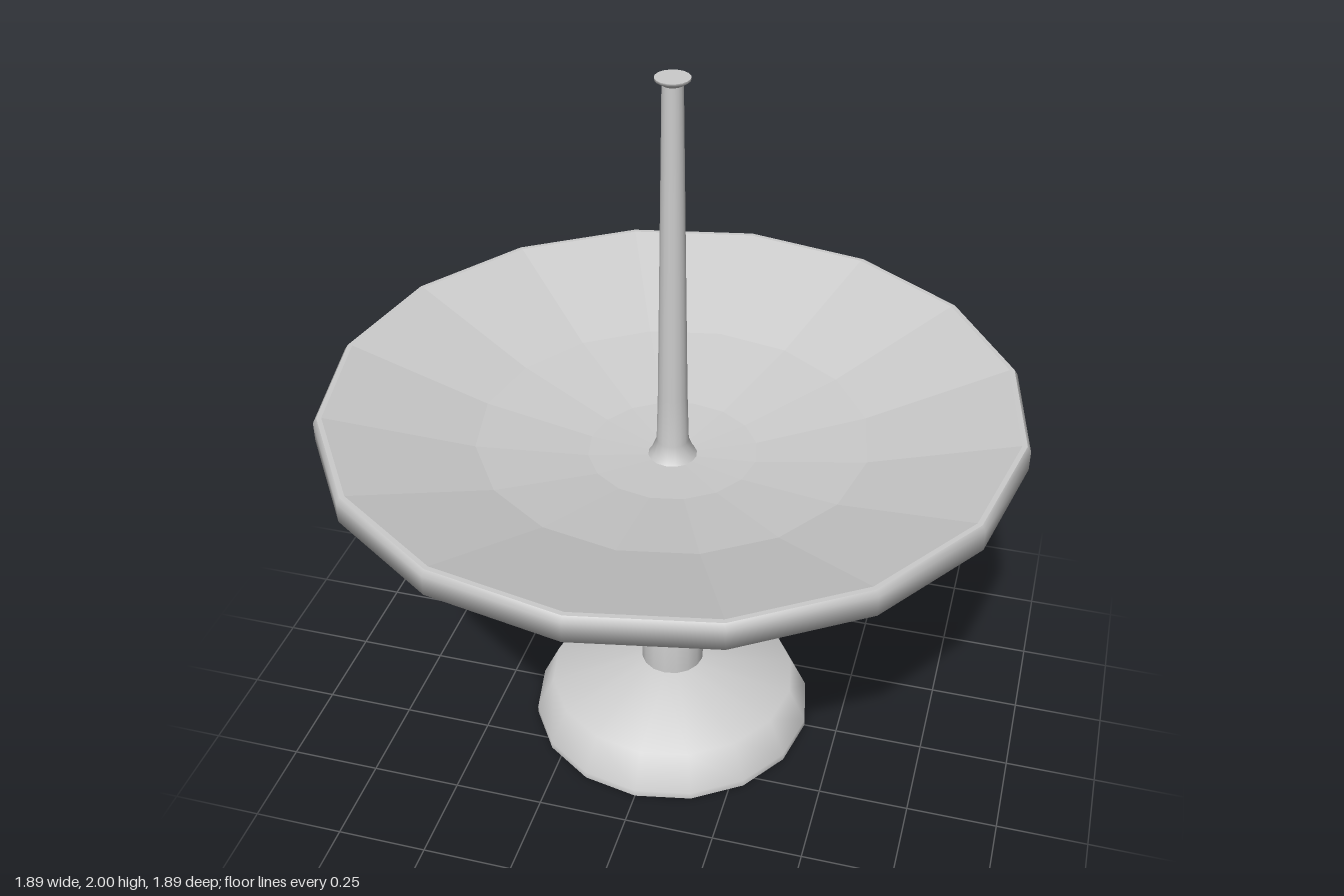
import * as THREE from 'three';

const SIDES = 16;

// Revolves [radius, height] pairs; upward order faces outward, inward order faces up
function turned(name, profile, flat = false) {
  const points = profile.map(([r, y]) => new THREE.Vector2(r, y));
  const material = new THREE.MeshStandardMaterial({ color: 0xcccccc, flatShading: flat });
  const mesh = new THREE.Mesh(new THREE.LatheGeometry(points, SIDES), material);
  mesh.name = name;
  return mesh;
}

function group(name, ...parts) {
  const g = new THREE.Group();
  g.name = name;
  g.add(...parts);
  return g;
}

export function createModel() {
  // Weighted foot with a sloping top
  const foot = group('foot',
    turned('footUnderside', [[0, 0], [0.405, 0]]),
    turned('footBody', [[0.405, 0], [0.405, 0.02], [0.355, 0.125], [0.09, 0.19]]));

  // Short collar that tapers up to the dish
  const stem = turned('stem', [[0.09, 0.185], [0.09, 0.31], [0.04, 0.9]]);

  // Shallow dish: smooth underside, narrow rim, faceted bowl
  const dish = group('dish',
    turned('dishUnderside', [[0, 0.885], [0.27, 0.885], [0.68, 0.945], [0.945, 1.035],
      [0.945, 1.09], [0.935, 1.105]]),
    turned('dishRim', [[0.935, 1.105], [0.922, 1.105]]),
    turned('dishBowl', [[0.922, 1.105], [0.53, 0.98], [0.23, 0.925], [0, 0.908]], true));

  // Upper rod with a flared base
  const rod = turned('rod', [[0.07, 0.908], [0.058, 0.925], [0.044, 0.96], [0.04, 1.1], [0.027, 1.985]]);

  // Small flared cap on the rod
  const cap = group('cap',
    turned('capFlare', [[0.027, 1.982], [0.045, 1.994], [0.045, 2]]),
    turned('capTop', [[0.045, 2], [0, 2]]));

  return group('servingStand', foot, stem, dish, rod, cap);
}
